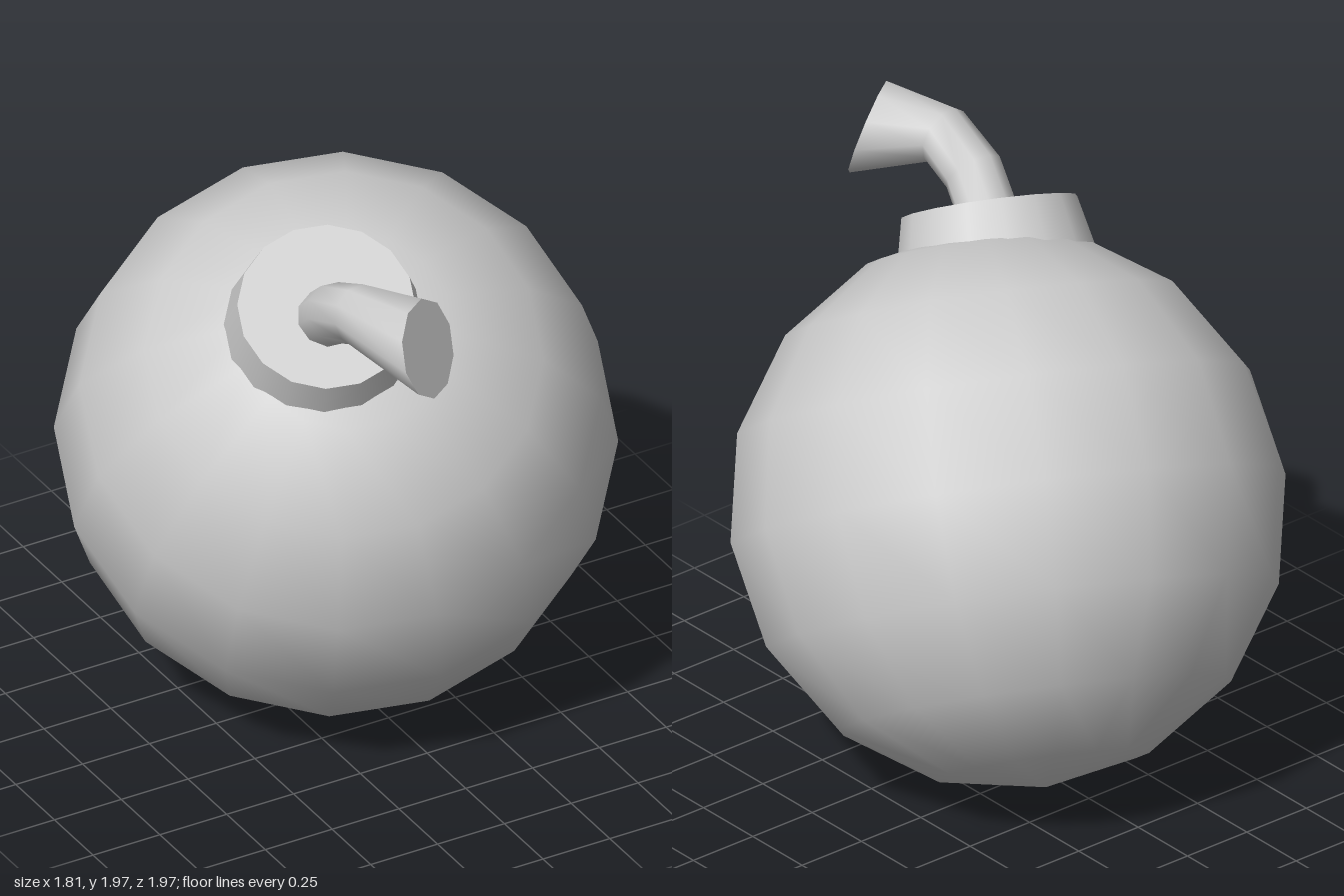
import * as THREE from 'three';

const grey = () => new THREE.MeshStandardMaterial({ color: 0xcccccc });
const V = (x, y, z) => new THREE.Vector3(x, y, z);

// Common tilted axis shared by the body and the cap
const axis = V(-0.25, 0.82, 0.51).normalize();
const side = V(-1, 0.5, -1).addScaledVector(axis, -V(-1, 0.5, -1).dot(axis)).normalize();
const tilt = new THREE.Quaternion().setFromRotationMatrix(
  new THREE.Matrix4().makeBasis(axis.clone().cross(side), axis, side));

function addPart(group, name, geometry, position, tilted) {
  const mesh = new THREE.Mesh(geometry, grey());
  mesh.name = name;
  if (position) mesh.position.copy(position);
  if (tilted) mesh.quaternion.copy(tilt);
  group.add(mesh);
  return mesh;
}

// Points of a ring around a centre, facing along a direction
function ringPoints({ c, n, r }, sides) {
  const dir = n.clone().normalize();
  const u = V(0, 1, 0).cross(dir).normalize();
  const v = dir.clone().cross(u);
  return Array.from({ length: sides }, (_, i) => {
    const a = (i / sides) * Math.PI * 2;
    return c.clone().addScaledVector(u, Math.cos(a) * r).addScaledVector(v, Math.sin(a) * r);
  });
}

// Smooth wall skinned through a list of rings
function loft(rings, sides) {
  const pos = [], index = [];
  rings.forEach((ring, k) => {
    ringPoints(ring, sides).forEach((p, i) => {
      pos.push(p.x, p.y, p.z);
      if (k === 0) return;
      const j = (i + 1) % sides, a = (k - 1) * sides, b = k * sides;
      index.push(a + i, a + j, b + j, a + i, b + j, b + i);
    });
  });
  return finish(pos, index);
}

// Flat disc closing a ring
function disc(ring, sides) {
  const pos = [...ring.c.toArray()], index = [];
  ringPoints(ring, sides).forEach((p, i) => {
    pos.push(p.x, p.y, p.z);
    index.push(0, i + 1, ((i + 1) % sides) + 1);
  });
  return finish(pos, index);
}

function finish(pos, index) {
  const g = new THREE.BufferGeometry();
  g.setAttribute('position', new THREE.Float32BufferAttribute(pos, 3));
  g.setIndex(index);
  g.computeVertexNormals();
  return g;
}

export function createModel() {
  const model = new THREE.Group();
  model.name = 'bomb';

  // Round body, its pole pointing at the cap
  addPart(model, 'body', new THREE.SphereGeometry(0.915, 16, 8), V(0, 0.91, -0.09), true);

  // Tapered cap sunk slightly into the body
  addPart(model, 'cap', new THREE.CylinderGeometry(0.29, 0.335, 0.2, 16),
    V(-0.295, 1.73, 0.36).addScaledVector(axis, -0.1), true);

  // Bent fuse that flares towards its open end
  const sides = 10;
  const rings = [
    { c: V(-0.29, 1.66, 0.33), n: V(-0.1, 0.7, 0.65), r: 0.1 },
    { c: V(-0.335, 1.79, 0.49), n: V(-0.1, 0.55, 0.8), r: 0.1 },
    { c: V(-0.335, 1.865, 0.64), n: V(0.12, 0.2, 0.95), r: 0.1 },
    { c: V(-0.22, 1.83, 0.885), n: V(0.54, 0.3, 0.78), r: 0.165 },
  ];
  const fuse = new THREE.Group();
  fuse.name = 'fuse';
  addPart(fuse, 'fuseCord', loft(rings, sides));
  addPart(fuse, 'fuseTip', disc(rings[3], sides));
  model.add(fuse);

  return model;
}
